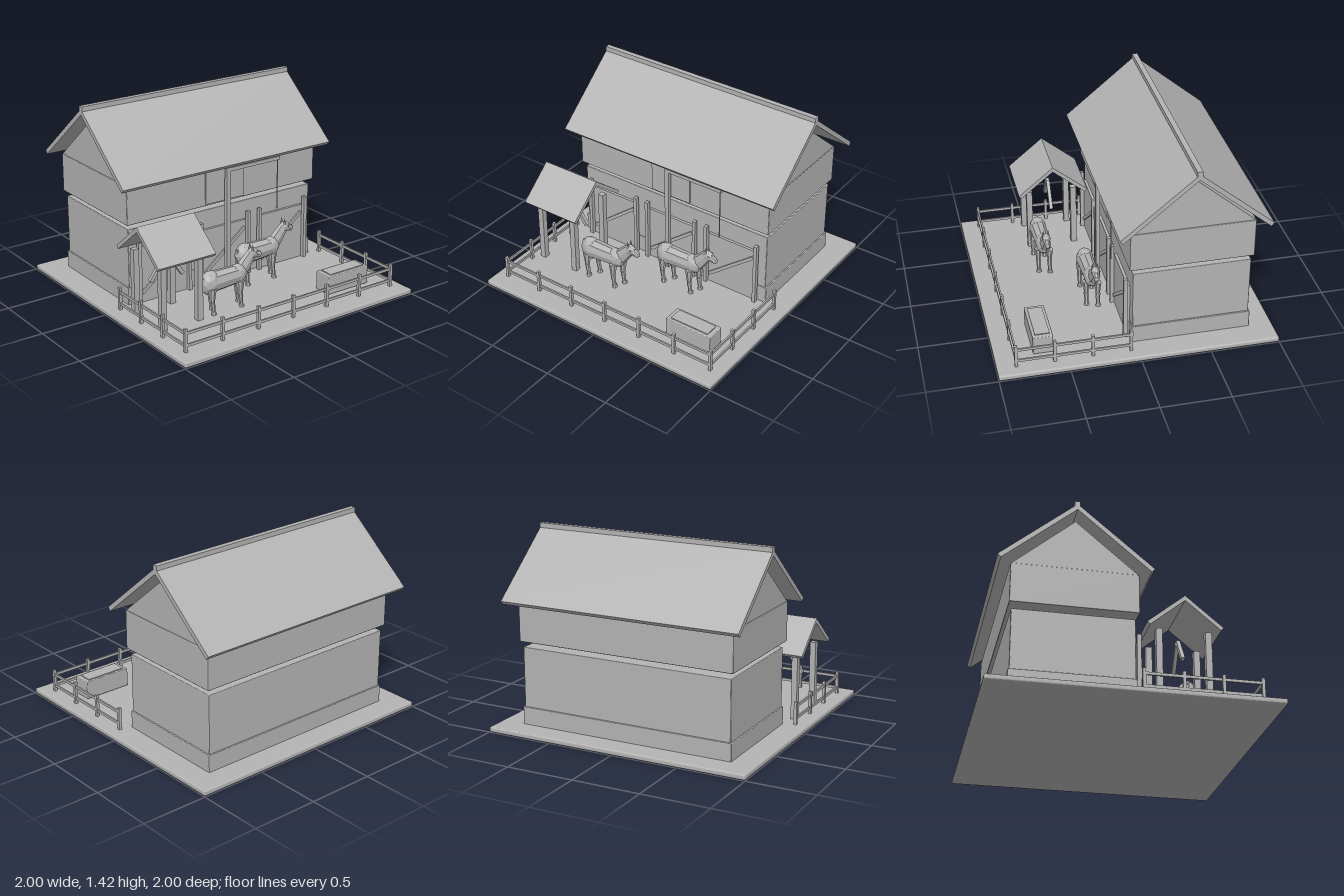
import * as THREE from 'three';
import { RoundedBoxGeometry } from 'three/addons/geometries/RoundedBoxGeometry.js';

const grey = new THREE.MeshStandardMaterial({ color: 0xb4b4b4, flatShading: true });
grey.name = 'plain grey';

function add(parent, name, geometry) {
  const m = new THREE.Mesh(geometry, grey);
  m.name = name;
  parent.add(m);
  return m;
}

// Box given by its limits, with optional rounded edges
function box(parent, name, x0, x1, y0, y1, z0, z1, r = 0) {
  const s = [x1 - x0, y1 - y0, z1 - z0];
  const g = r ? new RoundedBoxGeometry(...s, 2, r) : new THREE.BoxGeometry(...s);
  const m = add(parent, name, g);
  m.position.set((x0 + x1) / 2, (y0 + y1) / 2, (z0 + z1) / 2);
  return m;
}

// Profile of [z, y] points extruded along x
function prism(parent, name, points, x0, x1) {
  const shape = new THREE.Shape(points.map(([z, y]) => new THREE.Vector2(-z, y)));
  const g = new THREE.ExtrudeGeometry(shape, { depth: x1 - x0, bevelEnabled: false });
  g.rotateY(Math.PI / 2).translate(x0, 0, 0);
  return add(parent, name, g);
}

// Square bar between two points in the plane of the front
function bar(parent, name, x0, y0, x1, y1, z, w, d) {
  const m = add(parent, name, new THREE.BoxGeometry(Math.hypot(x1 - x0, y1 - y0), w, d));
  m.position.set((x0 + x1) / 2, (y0 + y1) / 2, z);
  m.rotation.z = Math.atan2(y1 - y0, x1 - x0);
}

// Tapered faceted limb between two points
function limb(parent, name, a, b, ra, rb, flat = 1, sides = 7) {
  const p = new THREE.Vector3(...a), q = new THREE.Vector3(...b);
  const m = add(parent, name, new THREE.CylinderGeometry(rb, ra, p.distanceTo(q), sides));
  m.position.copy(p).add(q).multiplyScalar(0.5);
  m.quaternion.setFromUnitVectors(new THREE.Vector3(0, 1, 0), q.sub(p).normalize());
  m.scale.z = flat;
  return m;
}

function blob(parent, name, x, y, z, sx, sy, sz) {
  const m = add(parent, name, new THREE.IcosahedronGeometry(1, 1));
  m.position.set(x, y, z);
  m.scale.set(sx, sy, sz);
}

// Pair of sloping roof slabs
function gableRoof(parent, name, zc, half, top, eave, t, x0, x1) {
  const slope = (top - eave) / half, n = Math.hypot(1, slope);
  const dz = t * slope / n, dy = t / n, drop = t * n;
  for (const s of [1, -1]) {
    prism(parent, name, [[zc, top], [zc + s * half, eave],
      [zc + s * (half - dz), eave - dy], [zc, top - drop]], x0, x1);
  }
}

function createHorse(x, z) {
  const h = new THREE.Group();
  h.name = 'horse';
  // Body
  blob(h, 'rump', -0.115, 0.27, 0, 0.08, 0.092, 0.064);
  limb(h, 'barrel', [-0.12, 0.272, 0], [0.12, 0.278, 0], 0.08, 0.07, 0.78, 9);
  blob(h, 'chest', 0.12, 0.28, 0, 0.075, 0.077, 0.056);
  limb(h, 'tail', [-0.175, 0.32, 0], [-0.19, 0.2, 0], 0.014, 0.008);
  // Neck and head
  limb(h, 'neck', [0.145, 0.29, 0], [0.245, 0.405, 0], 0.06, 0.042, 0.6);
  blob(h, 'head', 0.25, 0.405, 0, 0.045, 0.042, 0.03);
  limb(h, 'muzzle', [0.25, 0.402, 0], [0.315, 0.382, 0], 0.036, 0.024, 0.75);
  blob(h, 'nose', 0.307, 0.383, 0, 0.022, 0.025, 0.02);
  for (const s of [1, -1]) {
    const ear = add(h, 'ear', new THREE.ConeGeometry(0.011, 0.05, 5));
    ear.position.set(0.24, 0.452, s * 0.018);
    add(h, 'eye', new THREE.IcosahedronGeometry(0.007, 0)).position.set(0.268, 0.414, s * 0.027);
    // Legs: upper, lower and hoof
    const hind = s > 0 ? -0.125 : -0.085, front = s > 0 ? 0.115 : 0.145;
    for (const lx of [hind, front]) {
      const w = s * 0.04;
      limb(h, 'upperLeg', [lx, 0.24, w], [lx, 0.14, w], 0.033, 0.019, 0.8);
      limb(h, 'lowerLeg', [lx, 0.14, w], [lx + 0.01, 0.06, w], 0.019, 0.014);
      limb(h, 'hoof', [lx + 0.013, 0.04, w], [lx + 0.011, 0.062, w], 0.021, 0.015);
    }
  }
  h.position.set(x, 0, z);
  return h;
}

export function createModel() {
  const model = new THREE.Group();
  model.name = 'stable yard';
  box(model, 'ground', -1, 1, 0, 0.04, -1, 1, 0.012);

  // Barn
  const barn = new THREE.Group();
  barn.name = 'barn';
  model.add(barn);
  box(barn, 'foundation', -0.82, 0.82, 0.035, 0.17, -0.83, 0.03, 0.006);
  box(barn, 'lowerWalls', -0.81, 0.81, 0.04, 0.61, -0.82, 0.025, 0.006);
  box(barn, 'upperWalls', -0.83, 0.83, 0.65, 0.94, -0.835, 0.05, 0.006);
  prism(barn, 'gable', [[0.045, 0.94], [-0.396, 1.31], [-0.83, 0.94]], -0.825, 0.825);
  gableRoof(barn, 'barnRoof', -0.397, 0.536, 1.4, 0.955, 0.033, -0.91, 0.91);
  box(barn, 'ridge', -0.91, 0.91, 1.385, 1.42, -0.417, -0.378);
  box(barn, 'loftHatch', -0.168, 0.168, 0.665, 0.925, 0.045, 0.06);

  // Stall doors with posts and diagonal braces
  for (const c of [-0.53, 0, 0.53]) {
    box(barn, 'stallDoor', c - 0.2, c + 0.2, 0.04, 0.465, 0.02, 0.045);
    bar(barn, 'doorBrace', c - 0.185, 0.115, c + 0.185, 0.41, 0.05, 0.025, 0.015);
    for (const s of [-1, 1]) {
      const x = c + s * 0.213;
      box(barn, 'stallPost', x - 0.013, x + 0.013, 0.04, 0.53, 0.045, 0.075);
    }
  }

  // Hoist
  const hoist = new THREE.Group();
  hoist.name = 'hoist';
  model.add(hoist);
  box(hoist, 'hoistPost', -0.017, 0.017, 0.06, 0.925, 0.08, 0.11);
  box(hoist, 'hoistArm', -0.015, 0.465, 0.895, 0.922, 0.082, 0.108);
  box(hoist, 'hoistRope', 0.449, 0.455, 0.51, 0.9, 0.092, 0.098);

  // Small open shelter
  const shelter = new THREE.Group();
  shelter.name = 'shelter';
  model.add(shelter);
  gableRoof(shelter, 'shelterRoof', 0.337, 0.262, 0.76, 0.543, 0.028, -0.935, -0.465);
  for (const x of [-0.85, -0.55]) {
    for (const z of [0.17, 0.51]) {
      box(shelter, 'shelterPost', x - 0.022, x + 0.022, 0.04, 0.53, z - 0.022, z + 0.022);
    }
    bar(shelter, 'shelterBrace', -0.7 + Math.sign(x + 0.7) * 0.005, 0.52,
      x + (x < -0.7 ? 0.018 : -0.018), 0.335, 0.338, 0.028, 0.026);
  }

  // Fence round three sides of the yard
  const fence = new THREE.Group();
  fence.name = 'fence';
  model.add(fence);
  const post = (x, z) =>
    box(fence, 'fencePost', x - 0.011, x + 0.011, 0.04, 0.21, z - 0.011, z + 0.011);
  for (let i = -3; i <= 3; i++) post(i * 0.302, 0.865);
  for (const x of [-0.906, 0.906]) for (const z of [0.055, 0.325, 0.595]) post(x, z);
  for (const y of [0.085, 0.175]) {
    box(fence, 'frontRail', -0.906, 0.906, y - 0.01, y + 0.01, 0.859, 0.871);
    for (const x of [-0.906, 0.906]) {
      box(fence, 'sideRail', x - 0.006, x + 0.006, y - 0.01, y + 0.01, 0.055, 0.865);
    }
  }

  // Water trough
  box(model, 'trough', 0.437, 0.808, 0.04, 0.18, 0.585, 0.73, 0.008);
  box(model, 'water', 0.468, 0.777, 0.17, 0.187, 0.605, 0.71);

  model.add(createHorse(-0.31, 0.47), createHorse(0.185, 0.207));
  return model;
}
